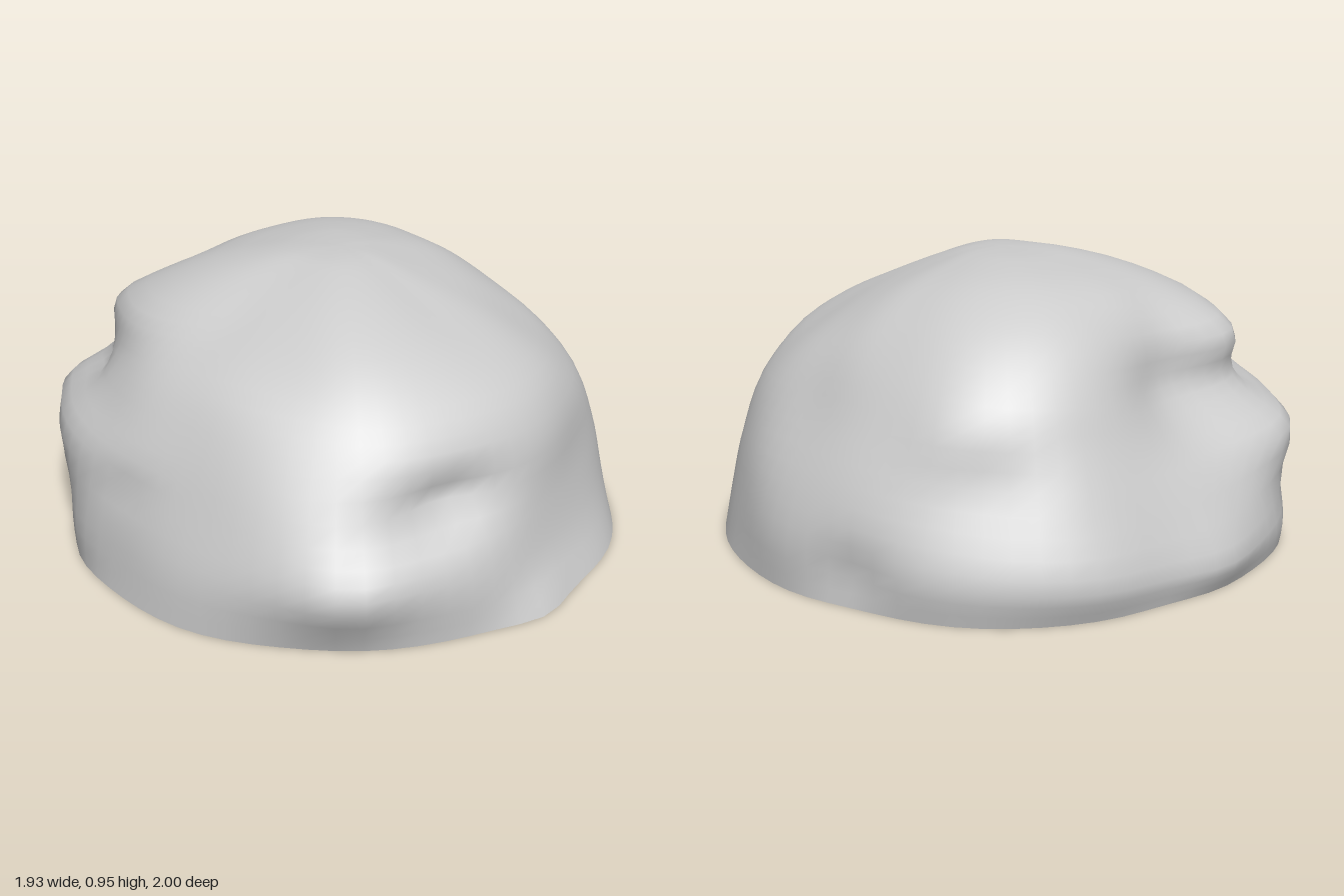
import * as THREE from 'three';

// Side profiles [radius, height] every 45 degrees, turning from +x towards +z
const PROFILES = [
  [[0.96, 0], [0.96, 0.17], [0.9, 0.36], [0.8, 0.53], [0.69, 0.68], [0.57, 0.79], [0.41, 0.88], [0.2, 0.935]],
  [[0.95, 0], [0.91, 0.17], [0.87, 0.34], [0.81, 0.51], [0.72, 0.62], [0.59, 0.72], [0.41, 0.83], [0.2, 0.915]],
  [[0.97, 0], [0.91, 0.14], [0.86, 0.33], [0.83, 0.51], [0.76, 0.64], [0.62, 0.74], [0.42, 0.83], [0.21, 0.915]],
  [[0.98, 0], [1.02, 0.18], [0.98, 0.32], [0.87, 0.52], [0.76, 0.66], [0.61, 0.78], [0.41, 0.875], [0.2, 0.935]],
  [[0.97, 0], [0.94, 0.17], [0.88, 0.36], [0.8, 0.53], [0.69, 0.68], [0.51, 0.79], [0.34, 0.88], [0.17, 0.94]],
  [[0.92, 0], [0.93, 0.17], [0.95, 0.4], [0.83, 0.52], [0.75, 0.62], [0.7, 0.75], [0.48, 0.87], [0.22, 0.94]],
  [[0.96, 0], [0.98, 0.1], [0.88, 0.32], [0.74, 0.46], [0.65, 0.58], [0.62, 0.73], [0.5, 0.86], [0.24, 0.935]],
  [[1.0, 0], [1.03, 0.12], [0.96, 0.3], [0.88, 0.5], [0.82, 0.63], [0.67, 0.79], [0.46, 0.9], [0.22, 0.945]],
];
const TOP = 0.955;

// Local bulges (+) and hollows (-): angle, height, angular width, vertical width, depth
const FEATURES = [
  [247, 0.68, 13, 0.12, 0.11],
  [246, 0.42, 14, 0.14, 0.08],
  [247, 0.02, 14, 0.15, 0.05],
  [231, 0.53, 9, 0.05, -0.04],
  [277, 0.09, 8, 0.1, 0.02],
  [292, 0.1, 10, 0.2, -0.02],
  [118, 0.4, 12, 0.08, -0.1],
  [137, 0.2, 9, 0.11, 0.05],
  [99, 0.0, 8, 0.08, 0.035],
  [204, 0.12, 9, 0.15, 0.02],
  [190, 0.33, 9, 0.06, -0.02],
  [350, 0.12, 8, 0.09, -0.03],
  [322, 0.4, 9, 0.09, -0.02],
  [334, 0.54, 9, 0.1, 0.02],
  [15, 0.52, 18, 0.15, -0.025],
];

const SEGMENTS = 72, STEPS = 30;

// Closed curve round the rock at one profile level, holding (radius, height)
const levels = () => PROFILES[0].map((_, i) => PROFILES.map((p) => p[i]));

function around(ring, deg, k) {
  const t = deg / 45, i = Math.floor(t), f = t - i;
  const at = (n) => ring[(n + 8) % 8][k];
  const [a, b, c, d] = [at(i - 1), at(i), at(i + 1), at(i + 2)];
  return b + 0.5 * f * (c - a + f * (2 * a - 5 * b + 4 * c - d + f * (3 * (b - c) + d - a)));
}

function shaped(radius, y, deg) {
  let r = radius;
  for (const [a, h, wa, wh, depth] of FEATURES) {
    const da = ((deg - a + 540) % 360) - 180;
    r += depth * Math.exp(-((da / wa) ** 2) - ((y - h) / wh) ** 2);
  }
  // Gentle weathering, fading out at the crown
  const t = THREE.MathUtils.degToRad(deg);
  const wave = Math.sin(7 * t + 6 * y) + 0.7 * Math.sin(11 * t - 9 * y + 1);
  return r + 0.004 * wave * Math.min(1, radius * 1.5);
}

// Points from the foot of the rock to just below the crown, for one direction
function meridian(rings, deg) {
  const pts = rings.map((ring) => new THREE.Vector3(around(ring, deg, 0), around(ring, deg, 1), 0));
  // Rounded crown: a quarter of the last drop at half of the last radius
  const last = pts[pts.length - 1];
  pts.push(new THREE.Vector3(last.x / 2, TOP - (TOP - last.y) / 4, 0), new THREE.Vector3(0, TOP, 0));
  const curve = new THREE.CatmullRomCurve3(pts, false, 'centripetal');
  const t = THREE.MathUtils.degToRad(deg);
  return Array.from({ length: STEPS }, (_, j) => {
    const p = curve.getPoint(j / STEPS);
    const r = shaped(p.x, p.y, deg);
    return [r * Math.cos(t), Math.max(0, p.y), r * Math.sin(t)];
  });
}

export function createModel() {
  const group = new THREE.Group();
  group.name = 'boulder';
  const material = new THREE.MeshStandardMaterial({ color: 0xcccccc });

  // Rock surface
  const rings = levels();
  const positions = [], index = [], foot = [];
  for (let i = 0; i < SEGMENTS; i++) {
    const line = meridian(rings, (i * 360) / SEGMENTS);
    foot.push(line[0]);
    positions.push(...line.flat());
  }
  const crown = SEGMENTS * STEPS;
  positions.push(0, TOP, 0);
  for (let i = 0; i < SEGMENTS; i++) {
    const a = i * STEPS, b = ((i + 1) % SEGMENTS) * STEPS;
    for (let j = 0; j < STEPS - 1; j++) {
      index.push(a + j, a + j + 1, b + j, b + j, a + j + 1, b + j + 1);
    }
    index.push(a + STEPS - 1, crown, b + STEPS - 1);
  }
  const rock = new THREE.BufferGeometry();
  rock.setAttribute('position', new THREE.Float32BufferAttribute(positions, 3));
  rock.setIndex(index);
  rock.computeVertexNormals();
  const dome = new THREE.Mesh(rock, material);
  dome.name = 'rockDome';
  group.add(dome);

  // Flat underside following the foot of the rock
  const outline = new THREE.Shape(foot.map(([x, , z]) => new THREE.Vector2(x, z)));
  const base = new THREE.Mesh(new THREE.ShapeGeometry(outline).rotateX(Math.PI / 2), material);
  base.name = 'flatBase';
  group.add(base);

  return group;
}
